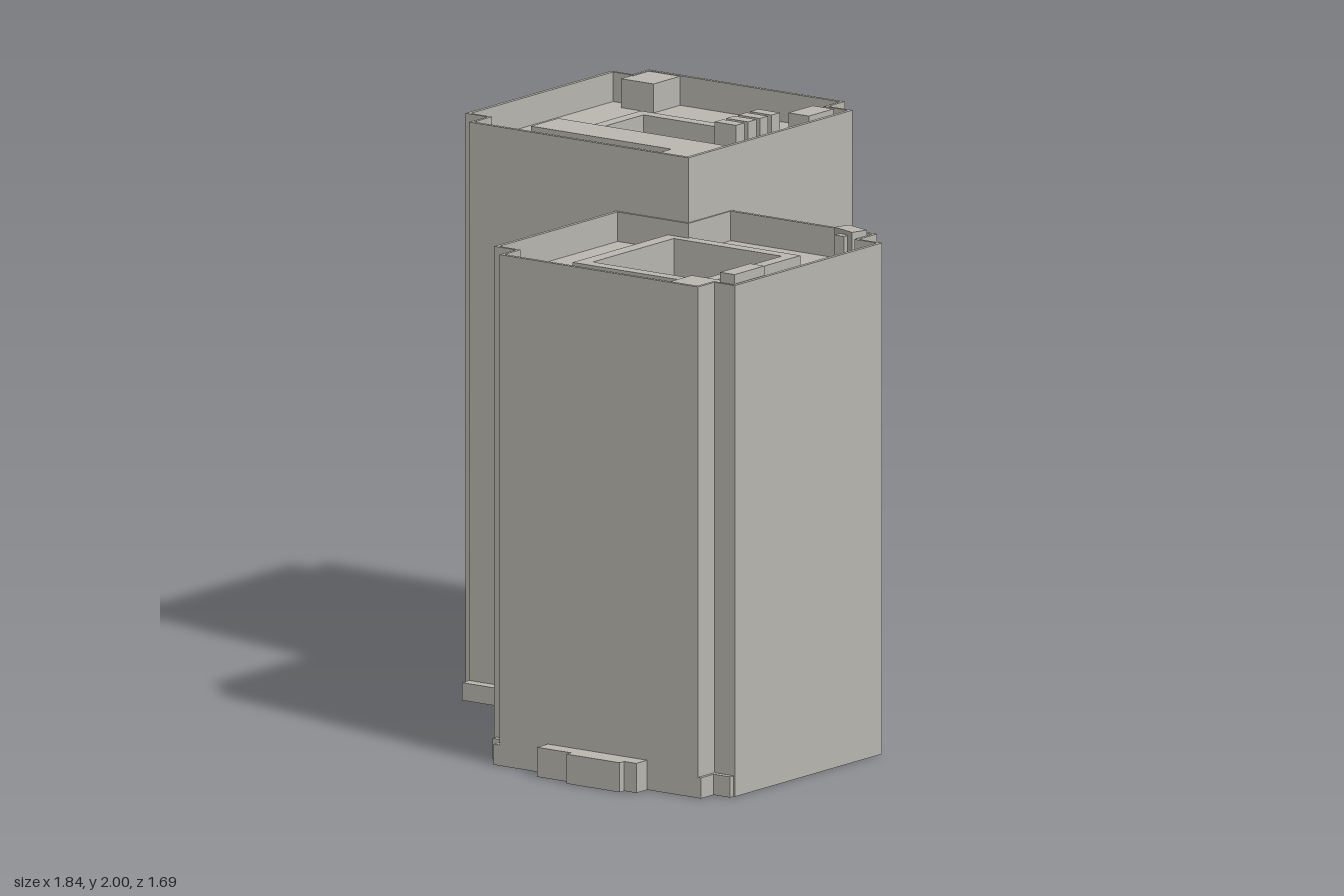
import * as THREE from 'three';

export function createModel() {
  const model = new THREE.Group();
  const concrete = new THREE.MeshStandardMaterial({ color: 0xb9b7b0, side: THREE.DoubleSide });
  concrete.name = 'concreteGrey';

  const add = (name, geometry) => {
    const mesh = new THREE.Mesh(geometry, concrete);
    mesh.name = name;
    model.add(mesh);
    return mesh;
  };

  // Plan outlines are [x, z] points; they lie flat after the rotation
  const vectors = pts => pts.map(([x, z]) => new THREE.Vector2(x, -z));
  const planShape = (pts, hole) => {
    const shape = new THREE.Shape(vectors(pts));
    if (hole) shape.holes.push(new THREE.Path(vectors(hole)));
    return shape;
  };
  const flat = (name, pts, y, hole) =>
    add(name, new THREE.ShapeGeometry(planShape(pts, hole)).rotateX(-Math.PI / 2).translate(0, y, 0));
  const prism = (name, pts, y0, y1, hole) =>
    add(name, new THREE.ExtrudeGeometry(planShape(pts, hole), { depth: y1 - y0, bevelEnabled: false })
      .rotateX(-Math.PI / 2).translate(0, y0, 0));
  const box = (name, x0, x1, y0, y1, z0, z1) =>
    add(name, new THREE.BoxGeometry(x1 - x0, y1 - y0, z1 - z0)
      .translate((x0 + x1) / 2, (y0 + y1) / 2, (z0 + z1) / 2));
  const rect = (x0, x1, z0, z1) => [[x0, z1], [x1, z1], [x1, z0], [x0, z0]];

  // Upright wall from p to q, optionally with a doorway [start, end, height]
  const wall = (name, p, q, y0, y1, door) => {
    const dx = q[0] - p[0], dz = q[1] - p[1], len = Math.hypot(dx, dz);
    const s = new THREE.Shape();
    s.moveTo(0, y0);
    if (door) {
      s.lineTo(door[0], y0);
      s.lineTo(door[0], y0 + door[2]);
      s.lineTo(door[1], y0 + door[2]);
      s.lineTo(door[1], y0);
    }
    s.lineTo(len, y0);
    s.lineTo(len, y1);
    s.lineTo(0, y1);
    add(name, new THREE.ShapeGeometry(s).rotateY(Math.atan2(-dz, dx)).translate(p[0], 0, p[1]));
  };
  const wallRun = (name, pts, y0, y1, doors = {}) => {
    for (let i = 0; i < pts.length - 1; i++) wall(name, pts[i], pts[i + 1], y0, y1, doors[i]);
  };

  const lowTop = 1.73, lowRoof = 1.63, highTop = 1.95, highRoof = 1.85;

  // Notched outlines of the two joined towers
  const lowRun = [[-0.08, -0.15], [-0.75, -0.15], [-0.75, -0.06], [-0.84, -0.06], [-0.84, 0.76],
    [-0.75, 0.76], [-0.75, 0.845], [0.06, 0.845], [0.06, 0.75], [0.16, 0.75], [0.16, 0.15]];
  const highRun = [[0.16, 0.15], [0.825, 0.15], [0.825, 0.05], [0.915, 0.05], [0.915, -0.76],
    [0.825, -0.76], [0.825, -0.845], [0.02, -0.845], [0.02, -0.755], [-0.08, -0.755], [-0.08, -0.15]];
  const lowPlan = [...lowRun, [-0.08, 0.15]];
  const highPlan = [...highRun.slice(1, -1), [-0.08, 0.15]];

  // Outer shells, open underneath and joined inside
  wallRun('lowTowerWall', lowRun, 0, lowRoof, { 9: [0.2, 0.53, 0.095] });
  wallRun('highTowerWall', highRun, 0, highRoof, { 6: [0.605, 0.725, 0.085] });
  wallRun('highTowerInnerWall', [[-0.08, -0.15], [-0.08, 0.15], [0.16, 0.15]], lowRoof, highRoof);

  // Recessed entrances
  const sideEntrance = [[0.16, 0.55], [0.11, 0.55], [0.11, 0.42], [0.08, 0.42],
    [0.08, 0.28], [0.12, 0.28], [0.12, 0.22], [0.16, 0.22]];
  const backEntrance = [[0.22, -0.845], [0.22, -0.8], [0.1, -0.8], [0.1, -0.845]];
  wallRun('sideEntranceWall', sideEntrance, 0, 0.095);
  flat('sideEntranceCeiling', sideEntrance, 0.095);
  wallRun('backEntranceWall', backEntrance, 0, 0.085);
  flat('backEntranceCeiling', backEntrance, 0.085);

  // Roof deck, parapet, curb and light shaft for each tower
  const roofTop = (prefix, plan, centre, deck, top, curb, hole, curbHeight, pitY) => {
    const inner = plan.map(([x, z]) =>
      [centre[0] + (x - centre[0]) * 0.972, centre[1] + (z - centre[1]) * 0.972]);
    flat(prefix + 'Roof', plan, deck, hole);
    prism(prefix + 'Parapet', plan, deck, top, inner);
    prism(prefix + 'ShaftCurb', curb, deck, deck + curbHeight, hole);
    wallRun(prefix + 'ShaftWall', [...hole, hole[0]], pitY, deck);
    flat(prefix + 'ShaftFloor', hole, pitY);
  };
  roofTop('lowTower', lowPlan, [-0.34, 0.345], lowRoof, lowTop,
    rect(-0.61, -0.075, 0.07, 0.61), rect(-0.565, -0.12, 0.12, 0.565), 0.05, 0.87);
  roofTop('highTower', highPlan, [0.418, -0.35], highRoof, highTop,
    rect(0.15, 0.685, -0.62, -0.08), rect(0.2, 0.64, -0.575, -0.13), 0.02, 0.97);

  // Low tower rooftop fittings
  box('cornerBlock', -0.83, -0.675, lowRoof, lowTop - 0.01, 0.61, 0.75);
  box('roofCabinet', -0.725, -0.56, lowRoof, 1.76, 0.765, 0.825);
  box('roofVent', -0.63, -0.6, lowRoof, 1.7, 0.69, 0.73);
  const hutch = add('angledHutch', new THREE.BoxGeometry(0.06, 0.12, 0.1));
  hutch.position.set(0.1, 1.69, 0.685);
  hutch.rotation.y = -0.3;
  box('hutchStep', 0.045, 0.08, lowRoof, 1.735, 0.66, 0.7);

  // High tower rooftop fittings
  prism('roofPlateau', [[0, -0.56], [0, 0.02], [-0.07, 0.02], [-0.07, 0.14], [0.15, 0.14], [0.15, -0.56]],
    highRoof, highTop - 0.002);
  box('cornerBlock', 0.755, 0.905, highRoof, highTop - 0.002, -0.755, -0.62);
  box('roofCabinet', 0.63, 0.765, highRoof, 1.96, 0.03, 0.115);
  box('finPlatform', 0.22, 0.485, highRoof, 1.9, 0.02, 0.14);
  for (let i = 0; i < 4; i++) {
    const x = 0.23 + i * 0.065;
    box('roofFin', x, x + 0.046, 1.9, 2, 0.025, 0.115);
  }

  // Low ledges and porches round the foot
  box('sideLedge', -0.12, -0.08, 0, 0.06, -0.755, -0.15);
  box('ledgeEnd', -0.12, -0.08, 0, 0.1, -0.2, -0.15);
  box('porchBack', -0.9, -0.84, 0, 0.1, 0.14, 0.28);
  box('porchMiddle', -0.925, -0.84, 0, 0.1, 0.28, 0.5);
  box('porchFront', -0.9, -0.84, 0, 0.1, 0.5, 0.55);
  box('frontFootBlock', -0.84, -0.77, 0, 0.07, 0.755, 0.772);
  box('frontFootStep', -0.77, -0.75, 0, 0.07, 0.755, 0.84);
  box('backFootBlock', -0.84, -0.78, 0, 0.07, -0.085, -0.06);
  box('backFootStep', -0.772, -0.75, 0, 0.07, -0.14, -0.06);

  return model;
}
